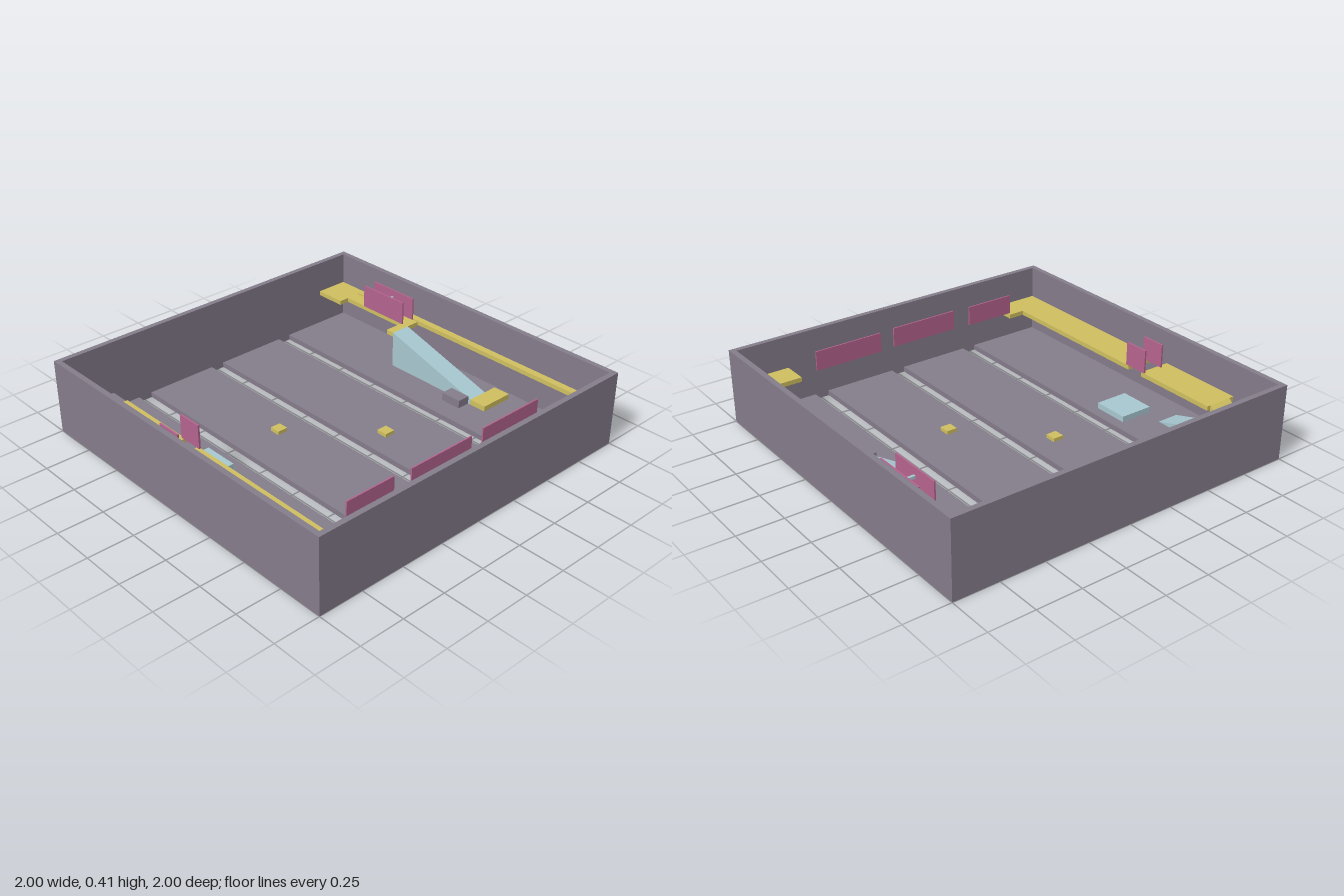
import * as THREE from 'three';

const mat = (name, color) => new THREE.MeshStandardMaterial({ name, color });

export function createModel() {
  const grey = mat('grey', 0x857d8b);
  const yellow = mat('yellow', 0xd0c060);
  const pink = mat('pink', 0xb5648f);
  const blue = mat('pale blue', 0xa8c8d0);
  const model = new THREE.Group();
  model.name = 'arena';

  // Box from its lower and upper limits on each axis
  function block(name, m, x0, x1, y0, y1, z0, z1) {
    const mesh = new THREE.Mesh(new THREE.BoxGeometry(x1 - x0, y1 - y0, z1 - z0), m);
    mesh.position.set((x0 + x1) / 2, (y0 + y1) / 2, (z0 + z1) / 2);
    mesh.name = name;
    model.add(mesh);
    return mesh;
  }

  // Block whose top slopes from yBack (at z0) to yFront (at z1)
  function ramp(name, m, x0, x1, base, yBack, yFront, z0, z1) {
    const mesh = block(name, m, x0, x1, base, base + 1, z0, z1);
    const p = mesh.geometry.attributes.position;
    for (let i = 0; i < p.count; i++) {
      if (p.getY(i) > 0) p.setY(i, (p.getZ(i) < 0 ? yBack : yFront) - base - 0.5);
    }
    mesh.geometry = mesh.geometry.toNonIndexed();
    mesh.geometry.computeVertexNormals();
  }

  const H = 0.415, T = 0.03, FLOOR = 0.03;
  const D0 = 0.21, D1 = 0.235; // underside and top of the raised walkway

  // Outer walls
  for (const s of [-1, 1]) {
    const a = Math.min(s, s * (1 - T)), b = Math.max(s, s * (1 - T));
    block('sideWall', grey, a, b, 0, H, -1, 1);
    block('endWall', grey, -1 + T, 1 - T, 0, H, a, b);
  }

  // Floor strips with open slots between them
  for (const [a, b] of [[-0.97, -0.535], [-0.455, -0.04], [0.04, 0.455], [0.535, 0.97]])
    block('floorStrip', grey, a, b, 0, FLOOR, -0.97, 0.97);

  // Raised walkways: x0, x1, z0, z1
  const decks = [
    [-0.98, -0.785, -0.69, -0.2], [-0.98, -0.785, -0.1, 0.98],
    [-0.785, -0.69, 0.825, 0.98],
    [0.93, 0.98, -0.98, 0.98], [0.685, 0.93, 0.825, 0.98],
    [0.78, 0.93, -0.98, -0.79], [0.84, 0.92, -0.79, -0.3],
    [0.725, 0.84, -0.35, -0.3],
  ];
  for (const [x0, x1, z0, z1] of decks) block('walkway', yellow, x0, x1, D0, D1, z0, z1);

  // Back corner platform and the ramps on either side of it
  block('cornerPlatform', grey, -0.97, -0.69, 0.095, 0.12, -0.97, -0.69);
  ramp('upperRamp', yellow, -0.94, -0.805, 0.12, 0.121, D1, -0.83, -0.69);
  ramp('lowerRamp', blue, -0.875, -0.75, FLOOR, 0.12, 0.031, -0.69, -0.39);

  // Low landing beside the walkway gap
  block('landing', blue, -0.785, -0.595, FLOOR, 0.062, -0.28, -0.08);

  // Long ramp with its foot plate and step
  ramp('longRamp', blue, 0.725, 0.84, FLOOR, D1, 0.06, -0.3, 0.29);
  block('footPlate', yellow, 0.725, 0.92, FLOOR, 0.06, 0.29, 0.39);
  block('step', grey, 0.65, 0.725, FLOOR, 0.075, 0.155, 0.275);

  // Side barriers
  for (const x of [-0.91, -0.79]) block('gapBarrier', pink, x - 0.005, x + 0.005, D1, 0.365, -0.22, -0.08);
  for (const x of [0.84, 0.92]) block('bridgeBarrier', pink, x - 0.004, x + 0.004, D1, 0.365, -0.65, -0.34);
  block('bridgeBar', blue, 0.844, 0.916, 0.31, 0.325, -0.505, -0.49);

  // Front barrier panels
  for (const [x0, x1, z] of [[-0.69, -0.4, 0.83], [-0.3, 0.1, 0.84], [0.19, 0.59, 0.83]])
    block('frontBarrier', pink, x0, x1, 0.245, 0.355, z - 0.004, z + 0.004);

  // Small floor pads
  for (const c of [-0.2, 0.19]) block('floorPad', yellow, c - 0.03, c + 0.03, FLOOR, 0.05, c - 0.03, c + 0.03);

  return model;
}
